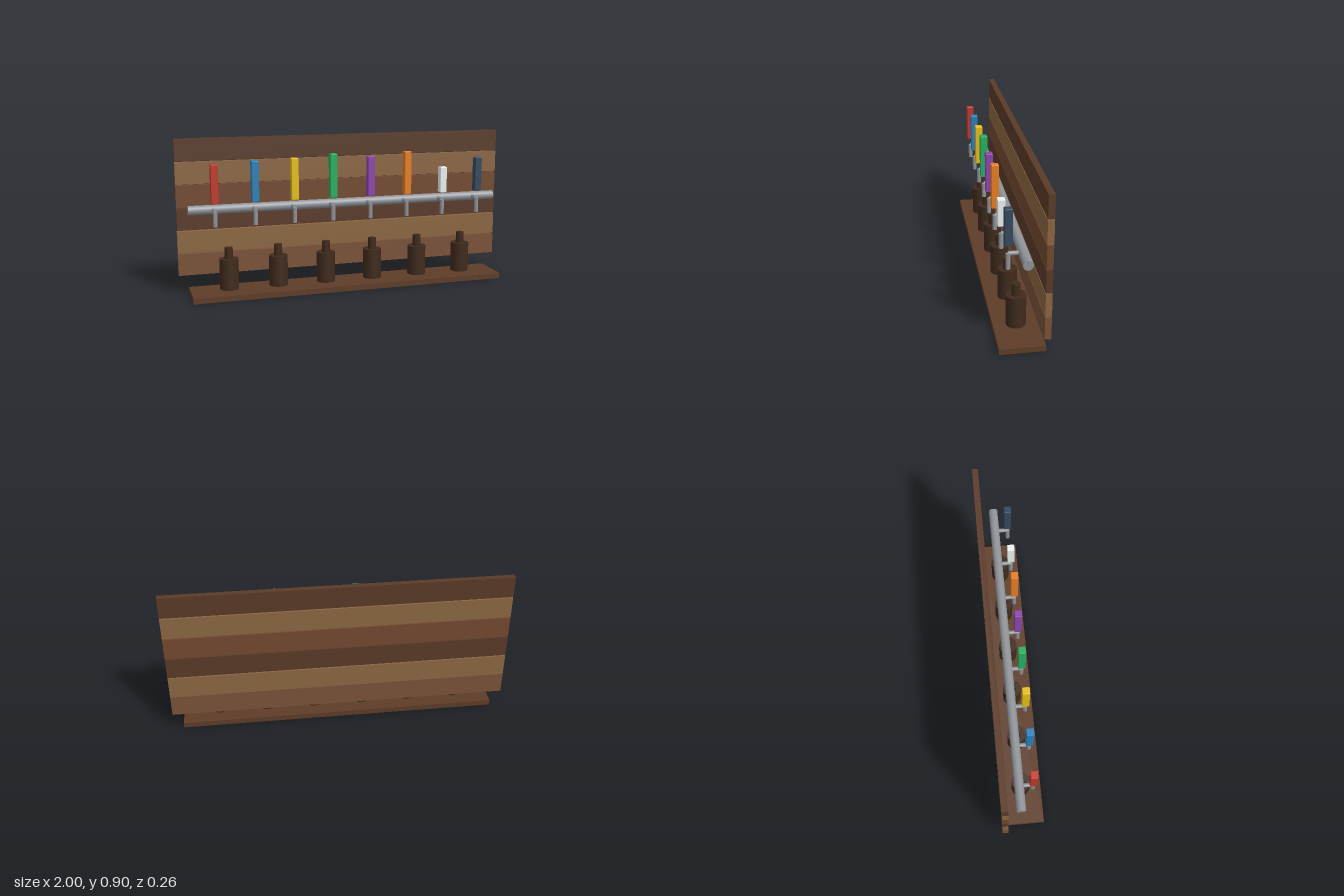
import * as THREE from 'three';
import { RoundedBoxGeometry } from 'three/addons/geometries/RoundedBoxGeometry.js';

const material = (color) => new THREE.MeshStandardMaterial({ color });

function add(parent, name, geometry, mat, x, y, z) {
  const mesh = new THREE.Mesh(geometry, mat);
  mesh.name = name;
  mesh.position.set(x, y, z);
  parent.add(mesh);
  return mesh;
}

export function createModel() {
  const model = new THREE.Group();
  model.name = 'tapWall';

  // Back wall: six planks with narrow gaps, in three repeating wood tones
  const wood = [0x7a5238, 0x8b6642, 0x5a3a28].map(material);
  const plank = new THREE.BoxGeometry(2, 0.127, 0.034);
  const wall = new THREE.Group();
  wall.name = 'plankWall';
  const tones = [0, 1, 2, 2, 1, 2];
  tones[0] = 0;
  const plankMats = [wood[0], wood[1], wood[2], wood[0], wood[1], wood[2]];
  plankMats[2] = material(0x5a3a28);
  plankMats[3] = material(0x72492f);
  for (let i = 0; i < 6; i++) {
    add(wall, 'plank', plank, plankMats[i], 0, 0.1735 + i * 0.1334, -0.111);
  }
  model.add(wall);

  // Shelf
  add(model, 'shelf', new THREE.BoxGeometry(1.885, 0.033, 0.245), material(0x5e3d28), 0, 0.0165, 0.0055);

  // Bottles
  const glass = material(0x3f2a1c);
  const body = new THREE.CylinderGeometry(0.055, 0.055, 0.178, 24);
  const neck = new THREE.CylinderGeometry(0.024, 0.024, 0.067, 20);
  for (let i = 0; i < 6; i++) {
    const bottle = new THREE.Group();
    bottle.name = 'bottle';
    bottle.position.set((i - 2.5) * 0.289, 0, 0.005);
    add(bottle, 'bottleBody', body, glass, 0, 0.13, 0);
    add(bottle, 'bottleNeck', neck, glass, 0, 0.2515, 0);
    model.add(bottle);
  }

  // Supply pipe
  const metal = material(0x8f9398);
  const pipe = add(model, 'pipe', new THREE.CylinderGeometry(0.027, 0.027, 1.885, 24), metal, 0, 0.506, -0.0165);
  pipe.rotation.z = Math.PI / 2;

  // Taps with coloured handles of differing height
  const handles = [
    [0xc0392b, 0.775], [0x2980b9, 0.787], [0xe6be14, 0.793], [0x27ae60, 0.81],
    [0x8e44ad, 0.787], [0xe67e22, 0.808], [0xecf0f1, 0.707], [0x34495e, 0.757],
  ];
  const arm = new THREE.CylinderGeometry(0.012, 0.012, 0.0785, 16);
  const spout = new THREE.CylinderGeometry(0.0125, 0.0125, 0.087, 16);
  handles.forEach(([color, top], i) => {
    const tap = new THREE.Group();
    tap.name = 'tap';
    tap.position.x = (i - 3.5) * 0.2286;
    add(tap, 'tapArm', arm, metal, 0, 0.506, 0.0228).rotation.x = Math.PI / 2;
    add(tap, 'tapSpout', spout, metal, 0, 0.4625, 0.062);
    const height = top - 0.553;
    const grip = new RoundedBoxGeometry(0.042, height, 0.042, 2, 0.004);
    add(tap, 'tapHandle', grip, material(color), 0, 0.553 + height / 2, 0.062);
    model.add(tap);
  });

  return model;
}
